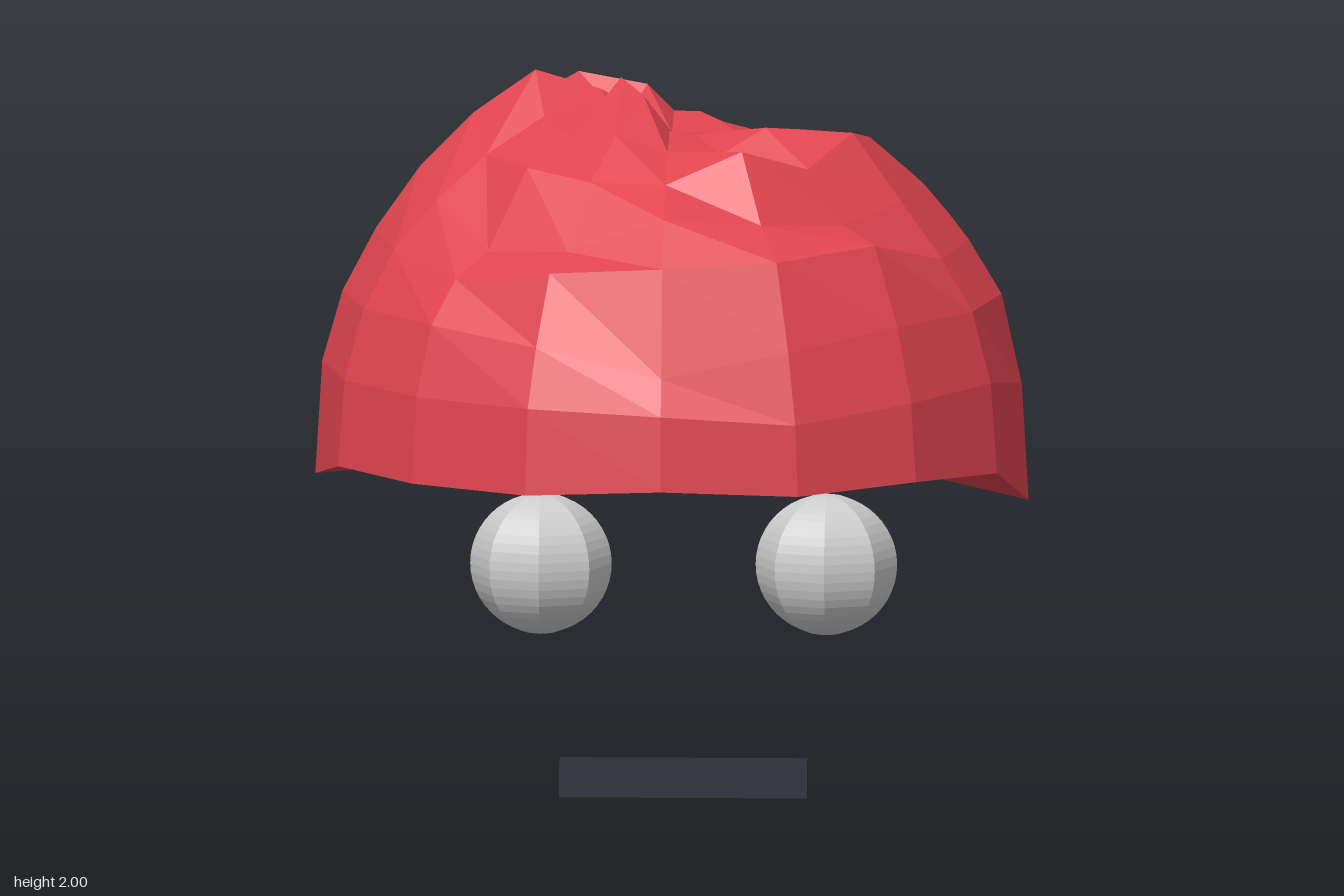
import * as THREE from 'three';

const SEG = 16, RADIUS = 0.907, CENTRE_Y = 1.08, CENTRE_Z = 0.09;

// Crumpled rows: heights around the cap, from the front (+z) towards +x
const crumpled = {
  1: [1.87, 1.86, 1.86, 1.83, 1.82, 1.83, 1.85, 1.87, 1.87, 1.94, 1.85, 1.84, 1.95, 1.92, 2.00, 1.96],
  2: [1.84, 1.83, 1.89, 1.87, 1.81, 1.78, 1.80, 1.80, 1.82, 1.87, 1.96, 1.90, 2.00, 1.90, 1.86, 1.88],
  3: [1.78, 1.86, 1.80, 1.87, 1.83, 1.73, 1.72, 1.76, 1.78, 1.79, 1.83, 1.84, 1.89, 1.81, 1.80, 1.78],
  4: [1.71, 1.69, 1.67, 1.70, 1.71, 1.71, 1.72, 1.74, 1.71, 1.73, 1.71, 1.74, 1.75, 1.70, 1.60, 1.62],
  5: [1.60, 1.61, 1.63, 1.56, 1.57, 1.59, 1.59, 1.60, 1.59, 1.59, 1.58, 1.59, 1.59, 1.58, 1.54, 1.58],
  6: [1.33, 1.39, 1.43, 1.43, 1.43, 1.43, 1.43, 1.43, 1.43, 1.43, 1.43, 1.43, 1.43, 1.43, 1.43, 1.40],
  7: [1.24, 1.21, 1.24, 1.25, 1.20, 1.24, 1.25, 1.25, 1.23, 1.18, 1.20, 1.25, 1.25, 1.25, 1.25, 1.25],
  8: [1.05, 1.03, 1.04, 1.02, 0.90, 0.97, 1.05, 0.94, 1.05, 0.96, 0.90, 1.00, 0.96, 1.03, 1.03, 1.03],
};

// Each ring is a radius and a list of heights, one per segment
function ringSurface(rings) {
  const pos = [], idx = [];
  for (const [r, heights] of rings) {
    heights.forEach((y, j) => {
      const a = (j / SEG) * Math.PI * 2;
      pos.push(r * Math.sin(a), y, CENTRE_Z + r * Math.cos(a));
    });
  }
  for (let i = 0; i < rings.length - 1; i++) {
    for (let j = 0; j < SEG; j++) {
      const k = (j + 1) % SEG;
      const a = i * SEG + j, b = a + SEG, c = (i + 1) * SEG + k, d = i * SEG + k;
      idx.push(a, b, c);
      if (rings[i][0] > 0) idx.push(a, c, d);
    }
  }
  const g = new THREE.BufferGeometry();
  g.setAttribute('position', new THREE.Float32BufferAttribute(pos, 3));
  g.setIndex(idx);
  const flat = g.toNonIndexed();
  flat.computeVertexNormals();
  return flat;
}

export function createModel() {
  const model = new THREE.Group();
  const add = (name, geometry, material, x = 0, y = 0, z = 0) => {
    const mesh = new THREE.Mesh(geometry, material);
    mesh.name = name;
    mesh.position.set(x, y, z);
    model.add(mesh);
  };
  const red = new THREE.MeshStandardMaterial({ color: 0xe0444f, flatShading: true, side: THREE.DoubleSide });
  const grey = new THREE.MeshStandardMaterial({ color: 0xcccccc, flatShading: true });
  const dark = new THREE.MeshStandardMaterial({ color: 0x2b303b, flatShading: true });

  // Thin hollow dome of the cap, with a sunken apex and an uneven lower edge
  const dome = [[0, Array(SEG).fill(1.84)]];
  for (let i = 1; i <= 8; i++) dome.push([RADIUS * Math.sin((i / 16) * Math.PI), crumpled[i]]);
  add('capDome', ringSurface(dome), red);

  // Broad rim turned inwards from the lower edge
  const innerEdge = crumpled[8].map((y) => 1.01 + (y - 1.0) * 0.5);
  add('capRim', ringSurface([[RADIUS, crumpled[8]], [0.65, innerEdge]]), red);

  // Eyes and mouth float below the cap at the back
  for (const [name, side] of [['leftEye', 1], ['rightEye', -1]]) {
    add(name, new THREE.SphereGeometry(0.18, 8, 24), grey, side * 0.363, 0.595, -0.82);
  }
  add('mouth', new THREE.BoxGeometry(0.63, 0.09, 0.09), dark, 0, 0.045, -0.817);

  return model;
}
